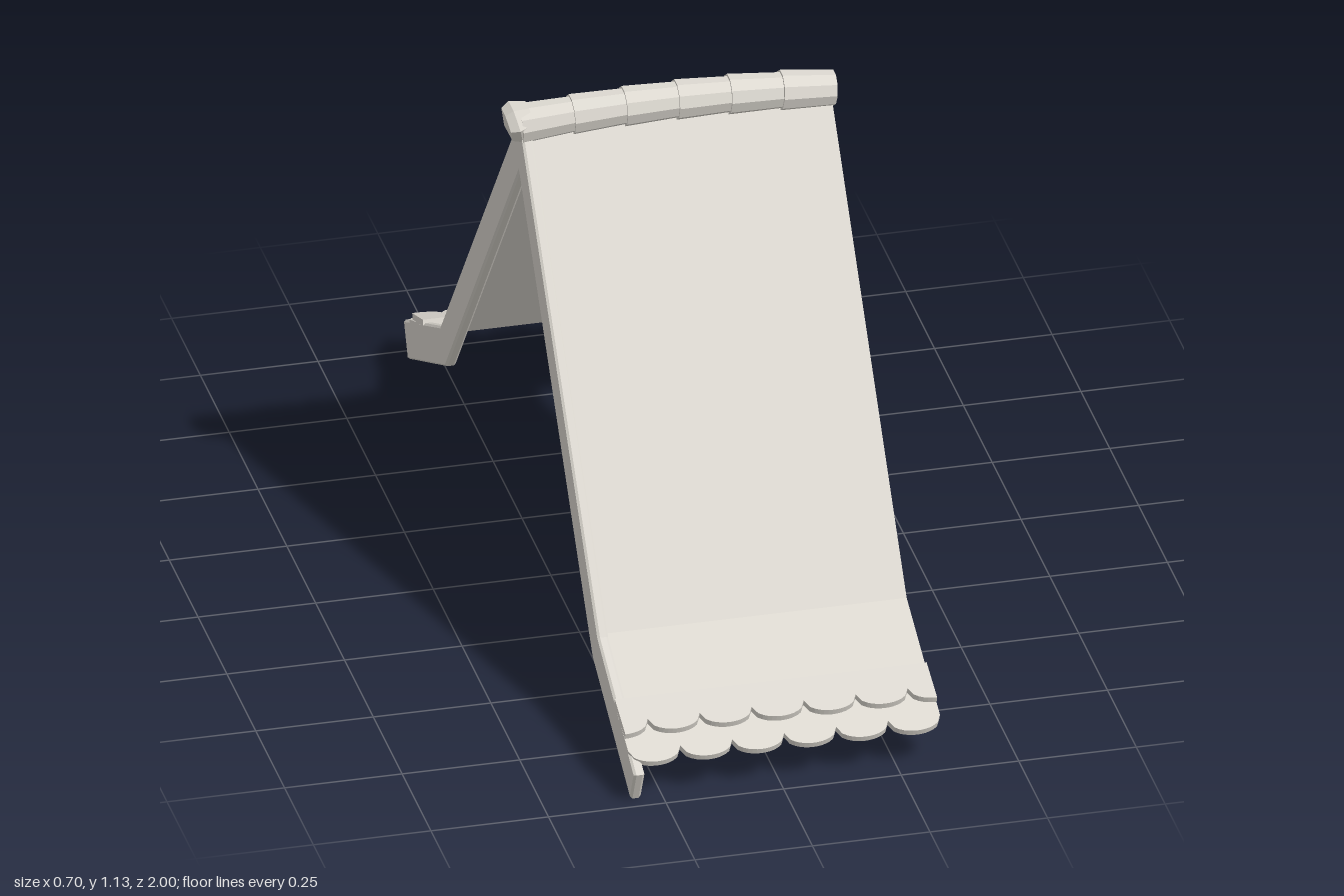
import * as THREE from 'three';

const X0 = -0.318, X1 = 0.345, PITCH = (X1 - X0) / 6;

export function createModel() {
  const stone = new THREE.MeshStandardMaterial({ color: 0xdcd8d0 });
  stone.flatShading = true;
  const sheetMat = stone.clone();
  sheetMat.side = THREE.DoubleSide;
  stone.name = 'paleStone';
  sheetMat.name = 'paleStoneSheet';

  const roof = new THREE.Group();
  roof.name = 'gableRoof';
  const add = (name, geo, mat = stone) => {
    const mesh = new THREE.Mesh(geo, mat);
    mesh.name = name;
    roof.add(mesh);
    return mesh;
  };

  // Roof skin: thin sheet draped over the ridge, with flared eaves
  const half = [[0, 1.07], [0.66, 0.225], [0.945, 0.1]];
  const path = [[-0.945, 0.1], [-0.66, 0.225], ...half];
  const sheet = new THREE.PlaneGeometry(X1 + 0.3, 1, 1, path.length - 1);
  const p = sheet.attributes.position;
  for (let i = 0; i < p.count; i++) {
    const [z, y] = path[Math.floor(i / 2)];
    p.setXYZ(i, i % 2 ? X1 : -0.3, y, z);
  }
  // rows run back to front, so the outer face points up
  sheet.computeVertexNormals();
  const flat = sheet.toNonIndexed();
  flat.computeVertexNormals();
  add('roofSheet', flat, sheetMat);

  // Barge board along the left gable, standing slightly proud of the sheet
  const top = [[0, 1.086], [0.682, 0.228], [0.997, 0.074]];
  const low = [[0.964, 0.006], [0.64, 0.163], [0, 0.97]];
  const right = [...top, ...low];
  const left = [...low.slice(0, 2).reverse(), ...top.slice(1).reverse()].map(([z, y]) => [-z, y]);
  const outline = [...right, left[0], left[1], left[2], left[3]];
  const boardShape = new THREE.Shape(outline.map(([z, y]) => new THREE.Vector2(z, y)));
  const board = new THREE.ExtrudeGeometry(boardShape, {
    depth: 0.013, bevelEnabled: true, bevelThickness: 0.005, bevelSize: 0.004, bevelOffset: -0.001, bevelSegments: 1,
  });
  board.translate(0, 0, 0.3).rotateY(-Math.PI / 2);
  add('bargeBoard', board);

  // Two overlapping rows of scalloped tiles on each eave
  const tileRow = (name, side, z, y, slope, length, shift) => {
    const thick = 0.014, depth = 0.034, steps = 72;
    const shape = new THREE.Shape();
    shape.moveTo(X0, 0);
    shape.lineTo(X1, 0);
    for (let i = steps; i >= 0; i--) {
      const x = X0 + (X1 - X0) * i / steps;
      const u = (x - X0) / PITCH + shift;
      const t = 2 * (u - Math.floor(u + 1e-6)) - 1;
      shape.lineTo(x, length - depth * (1 - Math.sqrt(Math.max(0, 1 - t * t))));
    }
    const geo = new THREE.ExtrudeGeometry(shape, { depth: thick, bevelEnabled: false });
    const c = Math.cos(slope), s = Math.sin(slope);
    const down = new THREE.Vector3(0, -s, side * c);
    const normal = new THREE.Vector3(0, -side * c, -s);
    const m = new THREE.Matrix4().makeBasis(new THREE.Vector3(1, 0, 0), down, normal);
    // front rows extrude downward from the top face, back rows upward from the underside
    const drop = side > 0 ? 0 : thick;
    m.setPosition(0, y - drop * c, side * (z - drop * s));
    geo.applyMatrix4(m);
    add(name, geo);
  };
  for (const side of [1, -1]) {
    const label = side > 0 ? 'front' : 'back';
    tileRow(label + 'UpperTiles', side, 0.833, 0.166, 0.35, 0.098, 0.5);
    tileRow(label + 'LowerTiles', side, 0.868, 0.139, 0.4, 0.122, 0);
  }

  // Ridge caps: tapered tubes following a gentle arch
  const ridgeY = (x) => 1.09 - 0.13 * x * x;
  for (let i = 0; i < 6; i++) {
    const a = -0.318 + i * 0.111, b = a + 0.114;
    const cap = new THREE.CylinderGeometry(0.038, 0.043, b - a, 10);
    cap.rotateZ(-Math.PI / 2);
    const mesh = add('ridgeCap', cap);
    mesh.position.set((a + b) / 2, (ridgeY(a) + ridgeY(b)) / 2, 0);
    mesh.rotation.z = Math.atan2(ridgeY(b) - ridgeY(a), b - a);
  }

  // Faceted knob closing the left end of the ridge
  const knob = new THREE.LatheGeometry(
    [[0, -0.03], [0.034, -0.028], [0.045, 0.005], [0.036, 0.024], [0, 0.03]].map(([r, h]) => new THREE.Vector2(r, h)), 6);
  knob.rotateZ(Math.PI / 2);
  const end = add('ridgeKnob', knob);
  end.position.set(-0.32, 1.084, 0);
  end.rotation.z = 0.25;

  return roof;
}
